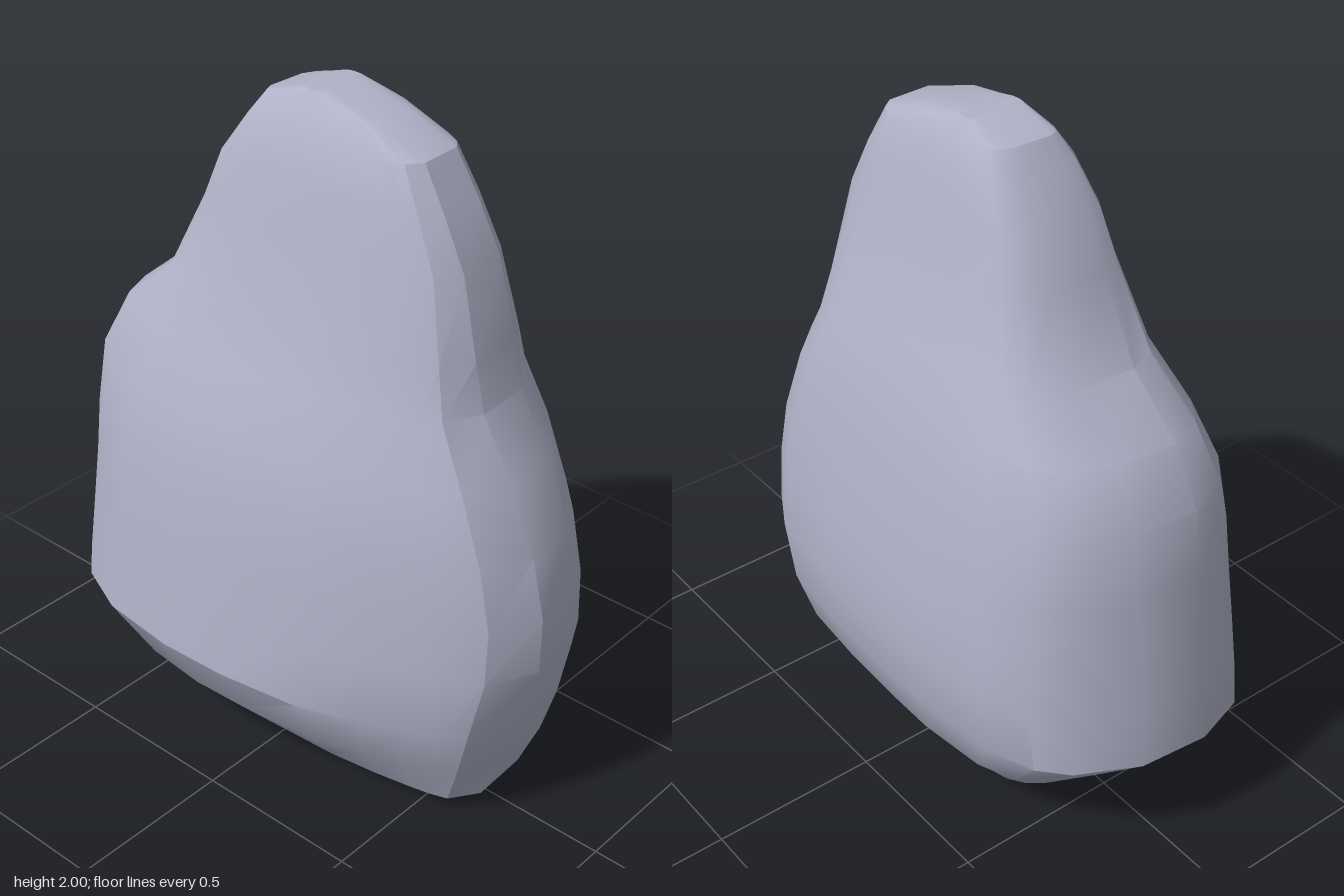
import * as THREE from 'three';
import { toCreasedNormals } from 'three/addons/utils/BufferGeometryUtils.js';

// Plan outline of the boulder at its widest, from the front clockwise [x, z]
const PLAN = [
  [-0.04, 0.8], [-0.19, 0.73], [-0.24, 0.66], [-0.28, 0.58], [-0.34, 0.45], [-0.41, 0.26],
  [-0.45, 0], [-0.46, -0.22], [-0.43, -0.47], [-0.35, -0.64], [-0.24, -0.75], [-0.08, -0.8],
  [0.1, -0.78], [0.28, -0.69], [0.36, -0.61], [0.42, -0.47], [0.455, -0.2], [0.455, 0],
  [0.445, 0.26], [0.42, 0.5], [0.35, 0.62], [0.21, 0.74], [0.11, 0.79],
];

// Levels: [y, left edge, right edge, front, back, squareness (lower is squarer)]
const LEVELS = [
  [0, 0.13, 0.16, 0.52, -0.24, 0.5],
  [0.04, 0.23, 0.27, 0.64, -0.45, 0.55],
  [0.2, 0.38, 0.39, 0.71, -0.63, 0.8],
  [0.36, 0.46, 0.44, 0.76, -0.8, 0.9],
  [0.55, 0.445, 0.455, 0.8, -0.785, 0.95],
  [0.72, 0.43, 0.44, 0.8, -0.765, 0.95],
  [0.9, 0.41, 0.42, 0.76, -0.745, 0.9],
  [1.1, 0.37, 0.385, 0.68, -0.715, 0.82],
  [1.27, 0.3, 0.35, 0.58, -0.63, 0.75],
  [1.41, 0.25, 0.3, 0.55, -0.46, 0.65],
  [1.64, 0.19, 0.225, 0.5, -0.345, 0.55],
  [1.78, 0.16, 0.195, 0.43, -0.29, 0.5],
  [1.9, 0.125, 0.165, 0.36, -0.205, 0.45],
  [1.965, 0.085, 0.135, 0.2, -0.16, 0.4],
  [2, 0.06, 0.11, 0.04, -0.04, 0.35],
];

function boulderGeometry() {
  const n = PLAN.length, positions = [], index = [];
  for (const [y, left, right, front, back, square] of LEVELS) {
    for (const [px, pz] of PLAN) {
      const u = px < 0 ? -left * (-px / 0.46) ** square : right * (px / 0.455) ** square;
      positions.push(u, y, pz > 0 ? front * pz / 0.8 : -back * pz / 0.8);
    }
  }
  // Skin between neighbouring levels
  for (let j = 0; j < LEVELS.length - 1; j++) {
    for (let i = 0; i < n; i++) {
      const a = j * n + i, b = j * n + (i + 1) % n;
      index.push(a, a + n, b, b, a + n, b + n);
    }
  }
  // Underside and crown
  const bottom = positions.length / 3, top = bottom + 1, last = (LEVELS.length - 1) * n;
  positions.push(0.02, 0, 0.15, 0.02, 2, 0);
  for (let i = 0; i < n; i++) {
    const k = (i + 1) % n;
    index.push(bottom, i, k, top, last + k, last + i);
  }
  const geometry = new THREE.BufferGeometry();
  geometry.setAttribute('position', new THREE.Float32BufferAttribute(positions, 3));
  geometry.setIndex(index);
  return toCreasedNormals(geometry, 0.5);
}

export function createModel() {
  const group = new THREE.Group();
  group.name = 'rock';
  const stone = new THREE.MeshStandardMaterial({ color: 0xb0b3c8 });
  stone.name = 'blue grey stone';
  const boulder = new THREE.Mesh(boulderGeometry(), stone);
  boulder.name = 'boulder';
  group.add(boulder);
  return group;
}
